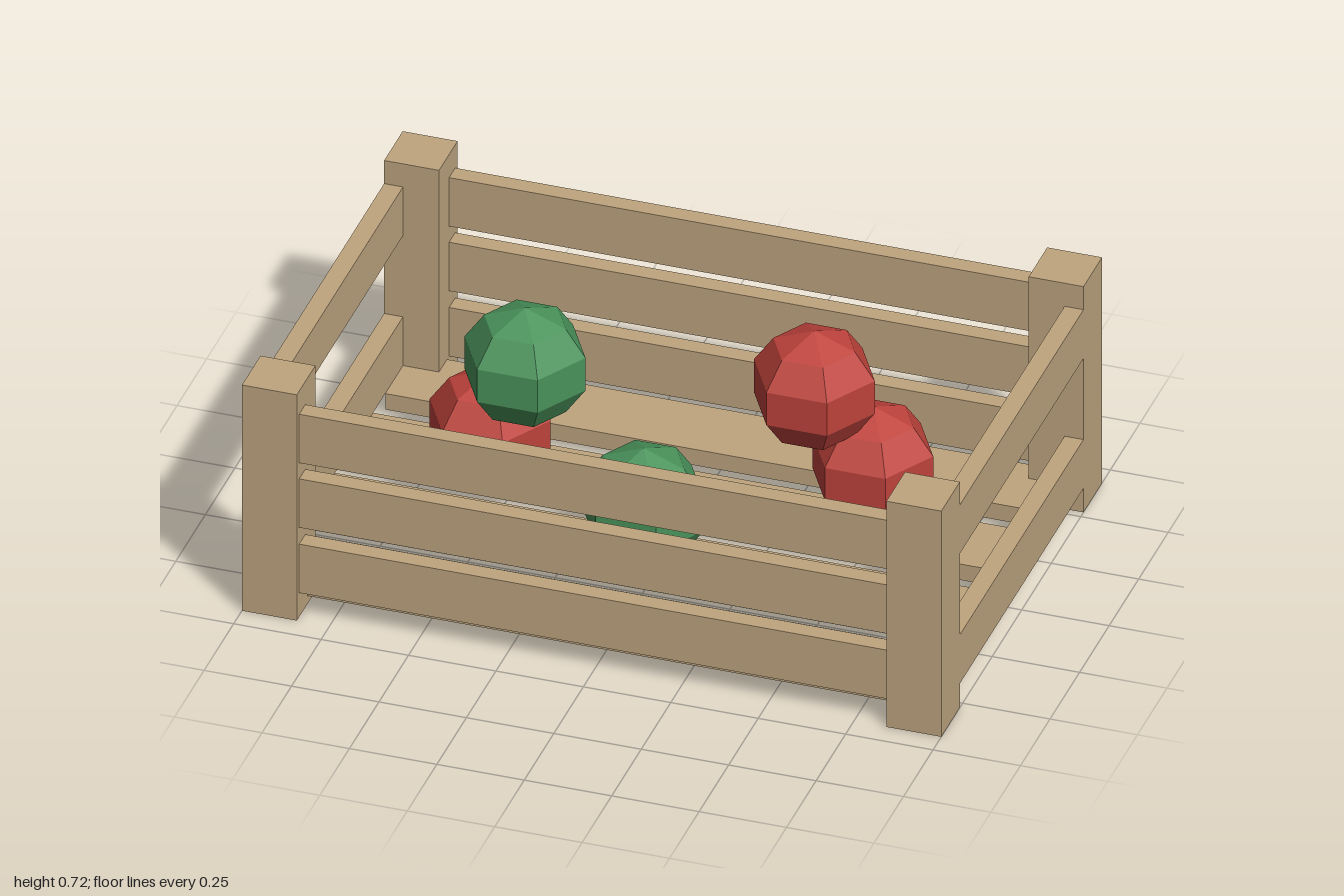
import * as THREE from 'three';

export function createModel() {
  const crate = new THREE.Group();
  crate.name = 'fruitCrate';

  const material = (name, color) => {
    const m = new THREE.MeshStandardMaterial({ color, flatShading: true });
    m.name = name;
    return m;
  };
  const wood = material('wood', 0xbfa57f);
  const red = material('redFruit', 0xbf433c);
  const green = material('greenFruit', 0x4a935b);

  // Wooden box given by its lower and upper limits on each axis
  const board = (name, [x0, x1], [y0, y1], [z0, z1]) => {
    const mesh = new THREE.Mesh(new THREE.BoxGeometry(x1 - x0, y1 - y0, z1 - z0), wood);
    mesh.name = name;
    mesh.position.set((x0 + x1) / 2, (y0 + y1) / 2, (z0 + z1) / 2);
    crate.add(mesh);
  };
  // Limits mirrored to the side given by sign
  const side = (sign, inner, outer) => (sign > 0 ? [inner, outer] : [-outer, -inner]);

  const postX = 0.843, postZ = 0.523;

  // Corner posts
  for (const sx of [-1, 1]) {
    for (const sz of [-1, 1]) {
      board('cornerPost', side(sx, postX, 1), [0, 0.723], side(sz, postZ, 0.68));
    }
  }

  // Three long rails on front and back, two flush rails on each end
  const heights = [0.077, 0.286, 0.493];
  for (const s of [-1, 1]) {
    heights.forEach((y, i) => {
      board('longRail', [-postX, postX], [y, y + 0.156], side(s, 0.608, 0.66));
      if (i !== 1) board('endRail', side(s, 0.946, 1), [y, y + 0.156], [-postZ, postZ]);
    });
  }

  // Floor slats
  for (const z of [-0.482, -0.161, 0.161, 0.482]) {
    board('floorSlat', [-0.946, 0.946], [0.026, 0.077], [z - 0.109, z + 0.109]);
  }

  // Six-sided faceted fruit
  const profile = [[0, -0.178], [0.117, -0.132], [0.173, -0.052], [0.173, 0.052], [0.117, 0.132], [0, 0.178]]
    .map(([r, y]) => new THREE.Vector2(r, y));
  const fruitShape = new THREE.LatheGeometry(profile, 6, Math.PI / 2);
  const fruits = [
    [red, -0.52, 0.282, 0], [red, 0.52, 0.282, -0.16], [green, 0, 0.282, 0.24],
    [green, -0.4, 0.543, 0.06], [red, 0.38, 0.543, -0.08],
  ];
  for (const [mat, x, y, z] of fruits) {
    const fruit = new THREE.Mesh(fruitShape, mat);
    fruit.name = mat.name;
    fruit.position.set(x, y, z);
    crate.add(fruit);
  }

  return crate;
}
